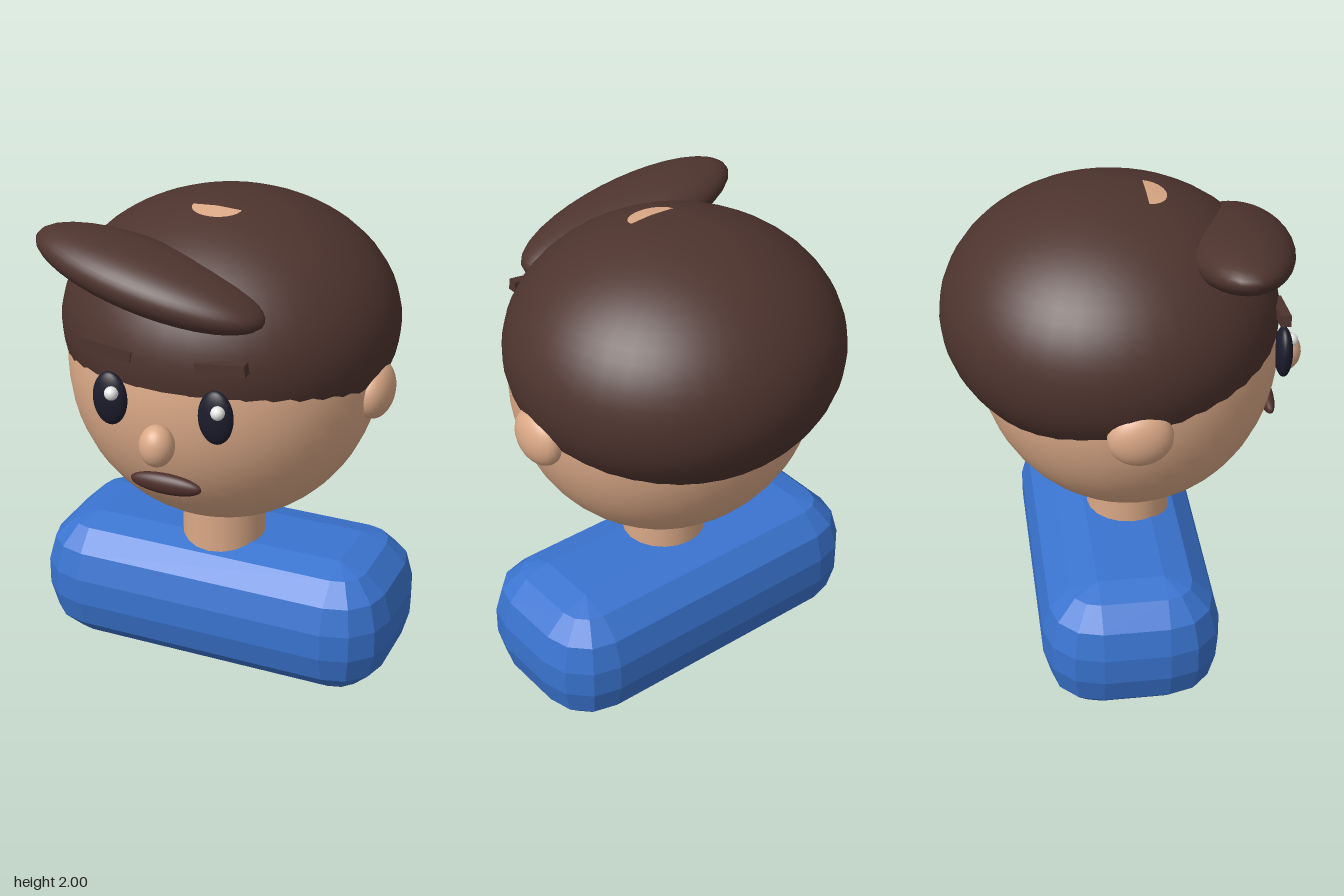
import * as THREE from 'three';

const mat = (name, color) => Object.assign(new THREE.MeshStandardMaterial({ color }), { name });

// Rounded box with three flat facets around every edge, centred on the origin.
function facetedBox(w, h, d, r) {
  const geo = new THREE.PlaneGeometry(1, 1, 16, 9);
  const pos = geo.attributes.position;
  const step = Math.PI / 6;
  for (let row = 0; row <= 9; row++) {
    for (let col = 0; col <= 16; col++) {
      const i = row * 17 + col;
      const up = row < 5 ? 1 : -1;
      if (row === 0 || row === 9) {
        pos.setXYZ(i, 0, up * h / 2, 0);
        continue;
      }
      const theta = (row < 5 ? row - 1 : row - 2) * step;
      const quadrant = Math.floor(col / 4) % 4;
      const phi = (quadrant * 3 + (col % 4)) * step;
      const sx = quadrant < 2 ? 1 : -1;
      const sz = quadrant === 0 || quadrant === 3 ? 1 : -1;
      pos.setXYZ(
        i,
        sx * (w / 2 - r) + r * Math.sin(theta) * Math.sin(phi),
        up * (h / 2 - r) + r * Math.cos(theta),
        sz * (d / 2 - r) + r * Math.sin(theta) * Math.cos(phi)
      );
    }
  }
  const flat = geo.toNonIndexed();
  flat.computeVertexNormals();
  return flat;
}

export function createModel() {
  const model = new THREE.Group();
  const skin = mat('skin', 0xdba987);
  const hairBrown = mat('hair brown', 0x4e342e);
  const mouthBrown = mat('mouth brown', 0x4e2f2a);
  const eyeDark = mat('eye dark', 0x1c1c2c);
  const white = mat('highlight white', 0xffffff);
  const blue = mat('shirt blue', 0x3a74d0);
  blue.flatShading = true;

  const add = (name, geo, material, x, y, z) => {
    const mesh = new THREE.Mesh(geo, material);
    mesh.name = name;
    mesh.position.set(x, y, z);
    model.add(mesh);
    return mesh;
  };
  const ellipsoid = (name, material, [x, y, z], [rx, ry, rz], segs = 24) =>
    add(name, new THREE.SphereGeometry(1, segs, Math.round(segs * 0.75)).scale(rx, ry, rz), material, x, y, z);

  // Torso and neck
  add('torso', facetedBox(1.53, 0.565, 0.715, 0.225), blue, 0, 0.2825, -0.037);
  add('neck', new THREE.CylinderGeometry(0.173, 0.173, 0.35, 20), skin, 0, 0.62, 0.018);

  // Head, and the hair that overlaps its upper back
  ellipsoid('head', skin, [0, 1.337, 0.01], [0.628, 0.651, 0.6], 40);
  const hairCentre = [0, 1.5, -0.055];
  const hairRadii = [0.675, 0.5, 0.663];
  ellipsoid('hair', hairBrown, hairCentre, hairRadii, 40);

  // Swept fringe
  const fringe = ellipsoid('fringe', hairBrown, [-0.13, 1.803, 0.42], [0.485, 0.115, 0.21], 32);
  fringe.rotation.set(0, -0.08, -0.2);

  // Small bare patch of scalp, laid over the curve of the hair
  const patch = new THREE.CircleGeometry(1, 16, Math.PI, Math.PI)
    .rotateX(-Math.PI / 2).scale(0.1, 1, 0.08).translate(0, 0, 0.085);
  const p = patch.attributes.position;
  for (let i = 0; i < p.count; i++) {
    const u = p.getX(i) / hairRadii[0];
    const v = (p.getZ(i) - hairCentre[2]) / hairRadii[2];
    p.setY(i, hairCentre[1] + hairRadii[1] * Math.sqrt(1 - u * u - v * v) + 0.004);
  }
  patch.computeVertexNormals();
  add('scalpPatch', patch, skin, 0, 0, 0);

  // Paired features
  for (const [side, s] of [['left', 1], ['right', -1]]) {
    ellipsoid(side + 'Ear', skin, [s * 0.625, 1.3, -0.015], [0.072, 0.115, 0.125]);
    ellipsoid(side + 'Eye', eyeDark, [s * 0.215, 1.373, 0.6], [0.07, 0.108, 0.035]);
    ellipsoid(side + 'EyeHighlight', white, [s * 0.215 + 0.022, 1.41, 0.633], [0.027, 0.027, 0.027], 16);
    const brow = add(side + 'Brow', new THREE.BoxGeometry(0.2, 0.045, 0.04), hairBrown, s * 0.228, 1.563, 0.578);
    brow.rotation.z = s * 0.13;
  }

  // Nose and mouth
  ellipsoid('nose', skin, [0, 1.24, 0.653], [0.068, 0.083, 0.068]);
  ellipsoid('mouth', mouthBrown, [0, 1.045, 0.581], [0.147, 0.042, 0.032]);

  return model;
}
